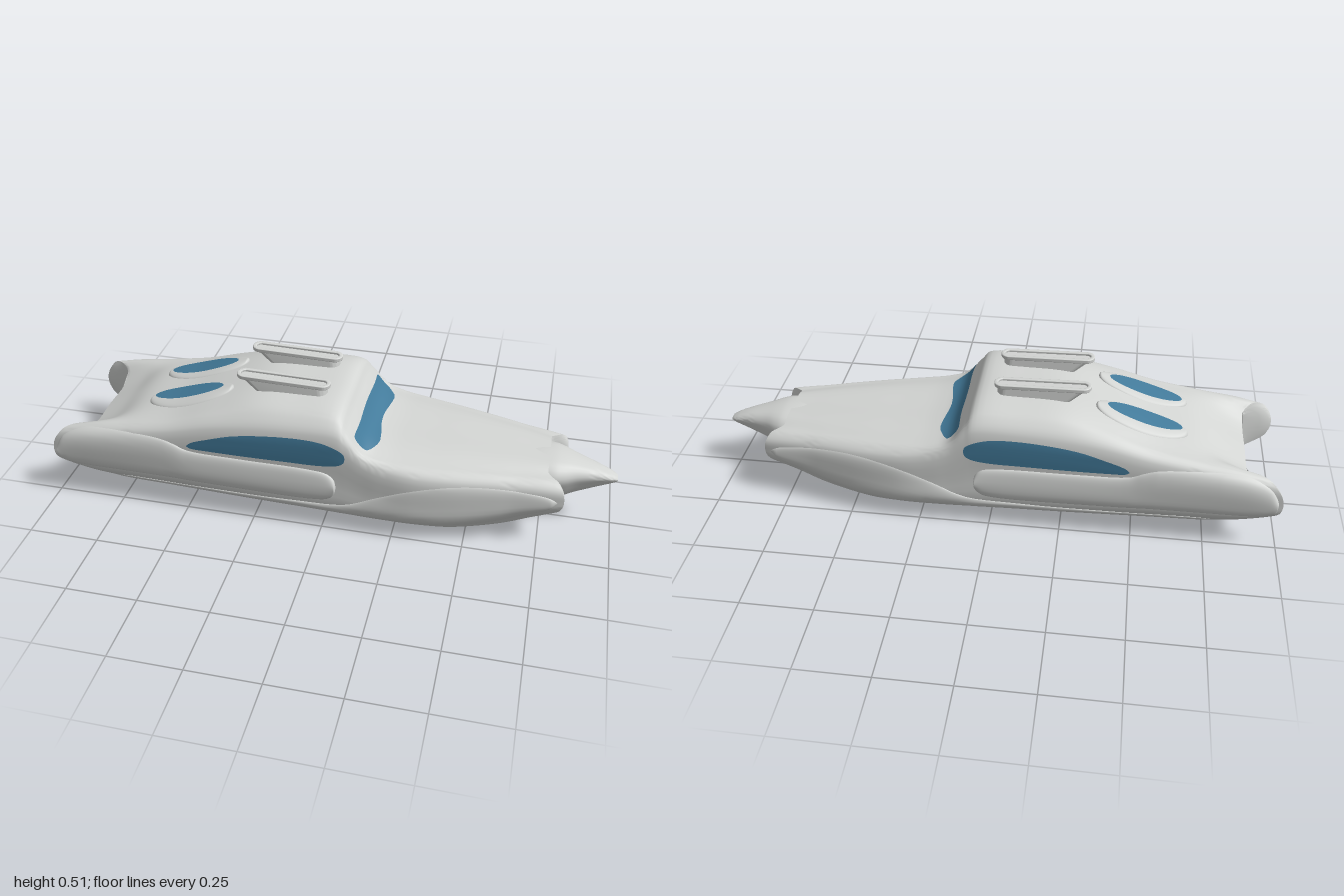
import * as THREE from 'three';
import { toCreasedNormals } from 'three/addons/utils/BufferGeometryUtils.js';

const V = (x, y, z) => new THREE.Vector3(x, y, z);
const step = THREE.MathUtils.smoothstep;
const hullMat = new THREE.MeshStandardMaterial({ color: 0xd3d5d3, side: THREE.DoubleSide });
hullMat.name = 'hullGrey';
const glassMat = new THREE.MeshStandardMaterial({ color: 0x437b9b, side: THREE.DoubleSide });
glassMat.name = 'windowBlue';

// Grid of points to an indexed surface; closed wraps each row round
function skin(rows, closed, flip) {
  const n = rows[0].length, pos = [], idx = [];
  rows.forEach(r => r.forEach(p => pos.push(p.x, p.y, p.z)));
  for (let i = 0; i < rows.length - 1; i++) {
    for (let j = 0; j < (closed ? n : n - 1); j++) {
      const k = (j + 1) % n, a = i * n + j, b = a + n, c = (i + 1) * n + k, d = i * n + k;
      if (flip) idx.push(a, d, b, b, d, c);
      else idx.push(a, b, d, b, c, d);
    }
  }
  const g = new THREE.BufferGeometry();
  g.setAttribute('position', new THREE.Float32BufferAttribute(pos, 3));
  g.setIndex(idx);
  g.computeVertexNormals();
  return g;
}

// Smoothly interpolates a table of stations whose first column is position
function sample(table, count) {
  const curves = table[0].map((_, c) =>
    new THREE.SplineCurve(table.map(r => new THREE.Vector2(r[0], r[c]))));
  return Array.from({ length: count + 1 }, (_, i) => curves.map(c => c.getPoint(i / count).y));
}

// Mirrored closed section from half-profile points [z, y], bottom to top
function section(x, half, n) {
  const c = new THREE.CatmullRomCurve3(half.map(([z, y]) => V(x, y, z)), false, 'centripetal');
  const right = c.getPoints(n);
  const left = right.slice(1, -1).reverse().map(p => V(p.x, p.y, -p.z));
  return [...right, ...left];
}

// Shrinks an end section to its middle to close it
function capRings(ring) {
  const ys = ring.map(p => p.y), mid = (Math.min(...ys) + Math.max(...ys)) / 2;
  return [0.96, 0.92, 0.87, 0.82, 0.76, 0.7, 0.6, 0.4, 0].map(k =>
    ring.map(p => V(p.x, mid + (p.y - mid) * k, p.z * k)));
}

// Main hull and cabin
function hullGeometry() {
  // x, bottom, top, shoulder height, half width, bottom half width, roof half width, well depth
  const table = [
    [-0.88, 0.065, 0.300, 0.255, 0.252, 0.165, 0.215, 0.06],
    [-0.80, 0.040, 0.324, 0.280, 0.256, 0.165, 0.210, 0.045],
    [-0.70, 0.036, 0.343, 0.300, 0.257, 0.165, 0.205, 0.01],
    [-0.55, 0.031, 0.374, 0.325, 0.257, 0.165, 0.200, 0],
    [-0.40, 0.025, 0.422, 0.360, 0.257, 0.165, 0.195, 0],
    [-0.25, 0.019, 0.460, 0.380, 0.257, 0.165, 0.190, 0],
    [-0.10, 0.014, 0.467, 0.390, 0.256, 0.165, 0.190, 0],
    [0.04, 0.009, 0.463, 0.390, 0.255, 0.165, 0.195, 0],
    [0.085, 0.008, 0.415, 0.360, 0.255, 0.165, 0.215, 0],
    [0.14, 0.006, 0.345, 0.310, 0.255, 0.165, 0.222, 0],
    [0.21, 0.005, 0.323, 0.280, 0.256, 0.165, 0.215, 0],
    [0.32, 0.004, 0.312, 0.262, 0.254, 0.163, 0.200, 0],
    [0.45, 0.010, 0.303, 0.252, 0.237, 0.158, 0.180, 0],
    [0.60, 0.040, 0.291, 0.244, 0.207, 0.145, 0.155, 0],
    [0.70, 0.070, 0.282, 0.236, 0.184, 0.130, 0.135, 0],
    [0.76, 0.095, 0.277, 0.228, 0.169, 0.120, 0.120, 0]];
  let rows = sample(table, 75).map(([x, b, t, sh, w, wb, wr, dip]) => {
    const chine = b + Math.min(0.085, (sh - b) * 0.5);
    return section(x, [[0, b + 0.004], [wb * 0.6, b + 0.002], [wb, b], [wb + (w - wb) * 0.5, b + (chine - b) * 0.42],
      [w * 0.985, chine], [w, chine * 0.6 + sh * 0.4], [w * 0.995, sh], [(w + wr) / 2, sh + (t - sh) * 0.55],
      [wr, t - 0.015], [wr * 0.65, t - dip], [0, t - dip]], 40);
  });
  rows = [...capRings(rows[0]).reverse(), ...rows, ...capRings(rows[rows.length - 1])];
  // Stern fins sweep aft and twin bow tips reach forward
  rows.flat().forEach(p => {
    const z = Math.abs(p.z);
    if (p.x < -0.65) {
      const h = Math.max(0, 1 - ((p.y - 0.185) / 0.145) ** 2);
      p.x -= 0.12 * step(z, 0.185, 0.245) * h * step(-p.x, 0.68, 0.88);
    }
    if (p.x > 0.6) {
      const h = Math.max(0, 1 - ((p.y - 0.19) / 0.11) ** 2);
      p.x += 0.065 * step(z, 0.105, 0.155) * h * step(p.x, 0.64, 0.76);
    }
  });
  return toCreasedNormals(skin(rows, true), 0.75);
}

// Central pointed beak
function beakGeometry() {
  // x, half width, bottom, top
  const table = [
    [0.60, 0.09, 0.07, 0.272], [0.70, 0.105, 0.075, 0.281], [0.77, 0.107, 0.088, 0.280],
    [0.81, 0.095, 0.103, 0.274], [0.86, 0.068, 0.127, 0.261], [0.93, 0.043, 0.158, 0.240],
    [0.98, 0.028, 0.180, 0.220], [1.0, 0.016, 0.190, 0.208]];
  const rows = sample(table, 28).map(([x, w, b, t]) => {
    const h = t - b;
    return section(x, [[0, b], [w * 0.4, b + h * 0.08], [w * 0.8, b + h * 0.42],
      [w, b + h * 0.72], [w * 0.72, b + h * 0.93], [0, t]], 16);
  });
  return toCreasedNormals(skin([...rows, ...capRings(rows[rows.length - 1])], true), 0.75);
}

// Panel laid on the hull: stations [a, low, high] are cast along an axis, then raised
function panel(hull, axis, sign, stations, { lift = 0.004, bulge = 0, nu = 40, nv = 8 } = {}) {
  const ray = new THREE.Raycaster();
  const place = { x: (a, b, d) => V(d, b, a), y: (a, b, d) => V(a, d, b), z: (a, b, d) => V(a, b, d) }[axis];
  const dir = place(0, 0, -sign);
  const curve = new THREE.CatmullRomCurve3(stations.map(s => V(...s)), false, 'centripetal');
  let depth = 0.25 * sign;
  const rows = curve.getPoints(nu).map(({ x: a, y: lo, z: hi }) =>
    Array.from({ length: nv + 1 }, (_, j) => {
      const v = (1 - Math.cos(Math.PI * j / nv)) / 2;
      const b = lo + (hi - lo) * v;
      ray.set(place(a, b, 2 * sign), dir);
      const hit = ray.intersectObject(hull)[0];
      if (hit) depth = hit.point[axis];
      const round = Math.max(0, Math.sin(Math.PI * v)) ** 0.45 * Math.min(1, Math.abs(hi - lo) / 0.04);
      return place(a, b, depth + sign * (lift + bulge * round));
    }));
  return skin(rows, false, (axis === 'z') === (sign < 0));
}

// Long shape with round ends, lying flat
function slab(length, radius, depth, holeRadius) {
  const outline = (s, r) => {
    const h = length / 2 - radius;
    s.absarc(h, 0, r, -Math.PI / 2, Math.PI / 2);
    s.absarc(-h, 0, r, Math.PI / 2, Math.PI * 1.5);
    s.closePath();
    return s;
  };
  const s = outline(new THREE.Shape(), radius);
  if (holeRadius) s.holes.push(outline(new THREE.Path(), holeRadius));
  return new THREE.ExtrudeGeometry(s, { depth, bevelEnabled: !!holeRadius, bevelSize: 0.003,
    bevelThickness: 0.003, bevelSegments: 3, curveSegments: 12 }).rotateX(-Math.PI / 2);
}

export function createModel() {
  const model = new THREE.Group();
  const add = (name, geo, mat = hullMat, parent = model) => {
    const m = new THREE.Mesh(geo, mat);
    m.name = name;
    parent.add(m);
    return m;
  };
  const hull = add('hull', hullGeometry());
  hull.updateMatrixWorld();
  add('bowBeak', beakGeometry());

  const sideWindow = [[-0.48, 0.285, 0.286], [-0.465, 0.277, 0.3], [-0.4, 0.274, 0.325], [-0.3, 0.273, 0.354],
    [-0.12, 0.274, 0.374], [0.0, 0.276, 0.37], [0.06, 0.286, 0.35], [0.08, 0.3, 0.335], [0.085, 0.317, 0.319]];
  const sidePod = [[-0.985, 0.19, 0.192], [-0.975, 0.15, 0.22], [-0.95, 0.136, 0.255], [-0.88, 0.134, 0.29],
    [-0.78, 0.134, 0.303], [-0.58, 0.133, 0.3], [-0.53, 0.132, 0.285], [-0.48, 0.13, 0.264], [-0.3, 0.127, 0.256],
    [-0.05, 0.125, 0.252], [0.02, 0.134, 0.242], [0.045, 0.155, 0.22], [0.053, 0.185, 0.187]];
  const bowBlister = [[-0.78, 0.07, 0.072], [-0.76, 0.062, 0.09], [-0.5, 0.058, 0.098], [-0.1, 0.055, 0.106],
    [0.08, 0.053, 0.118], [0.2, 0.051, 0.17], [0.3, 0.05, 0.213], [0.4, 0.05, 0.238], [0.5, 0.055, 0.246],
    [0.6, 0.075, 0.24], [0.7, 0.115, 0.225], [0.77, 0.15, 0.21], [0.805, 0.185, 0.19]];
  for (const [side, s] of [['left', 1], ['right', -1]]) {
    add(side + 'Window', panel(hull, 'z', s, sideWindow), glassMat);
    add(side + 'Pod', panel(hull, 'z', s, sidePod, { lift: -0.002, bulge: 0.018, nu: 60, nv: 14 }));
    add(side + 'BowBlister', panel(hull, 'z', s, bowBlister, { lift: -0.002, bulge: 0.01, nu: 60, nv: 14 }));

    // Roof skylight with its raised collar
    const oval = (cx, cz, rx, rz) => Array.from({ length: 13 }, (_, i) => {
      const t = Math.PI * i / 12, r = rz * Math.sin(t);
      return [cx - rx * Math.cos(t), cz * s - r, cz * s + r];
    });
    add(side + 'SkylightCollar', panel(hull, 'y', 1, oval(-0.51, 0.095, 0.16, 0.067),
      { lift: -0.002, bulge: 0.014, nv: 14 }));
    add(side + 'Skylight', panel(hull, 'y', 1, oval(-0.52, 0.089, 0.13, 0.04), { lift: 0.015 }), glassMat);

    // Roof funnel: flared neck, rolled rim and sunken grille
    const funnel = new THREE.Group();
    funnel.name = side + 'Funnel';
    const neck = slab(0.25, 0.028, 0.05);
    const p = neck.attributes.position;
    for (let i = 0; i < p.count; i++) {
      if (p.getY(i) > 0.04) p.setX(i, p.getX(i) * 1.22 - 0.03);
      else p.setZ(i, p.getZ(i) * 1.15);
    }
    neck.computeVertexNormals();
    add('funnelNeck', toCreasedNormals(neck, 0.7), hullMat, funnel).position.set(-0.135, 0.448, 0);
    const top = new THREE.Group();
    top.name = 'funnelTop';
    top.position.set(-0.167, 0.497, 0);
    top.rotation.z = -0.02;
    add('funnelRim', toCreasedNormals(slab(0.326, 0.027, 0.009, 0.019), 0.7), hullMat, top);
    add('funnelGrille', slab(0.31, 0.022, 0.004), hullMat, top);
    funnel.add(top);
    funnel.position.z = 0.096 * s;
    model.add(funnel);
  }

  // Wide front windscreen
  const half = [[0.213, 0.34, 0.365], [0.208, 0.329, 0.376], [0.195, 0.326, 0.381], [0.1, 0.331, 0.388]];
  const screen = [...half.map(([z, l, h]) => [-z, l, h]), [0, 0.333, 0.39], ...half.slice().reverse()];
  add('windscreen', panel(hull, 'x', 1, screen, { nu: 60 }), glassMat);
  return model;
}
